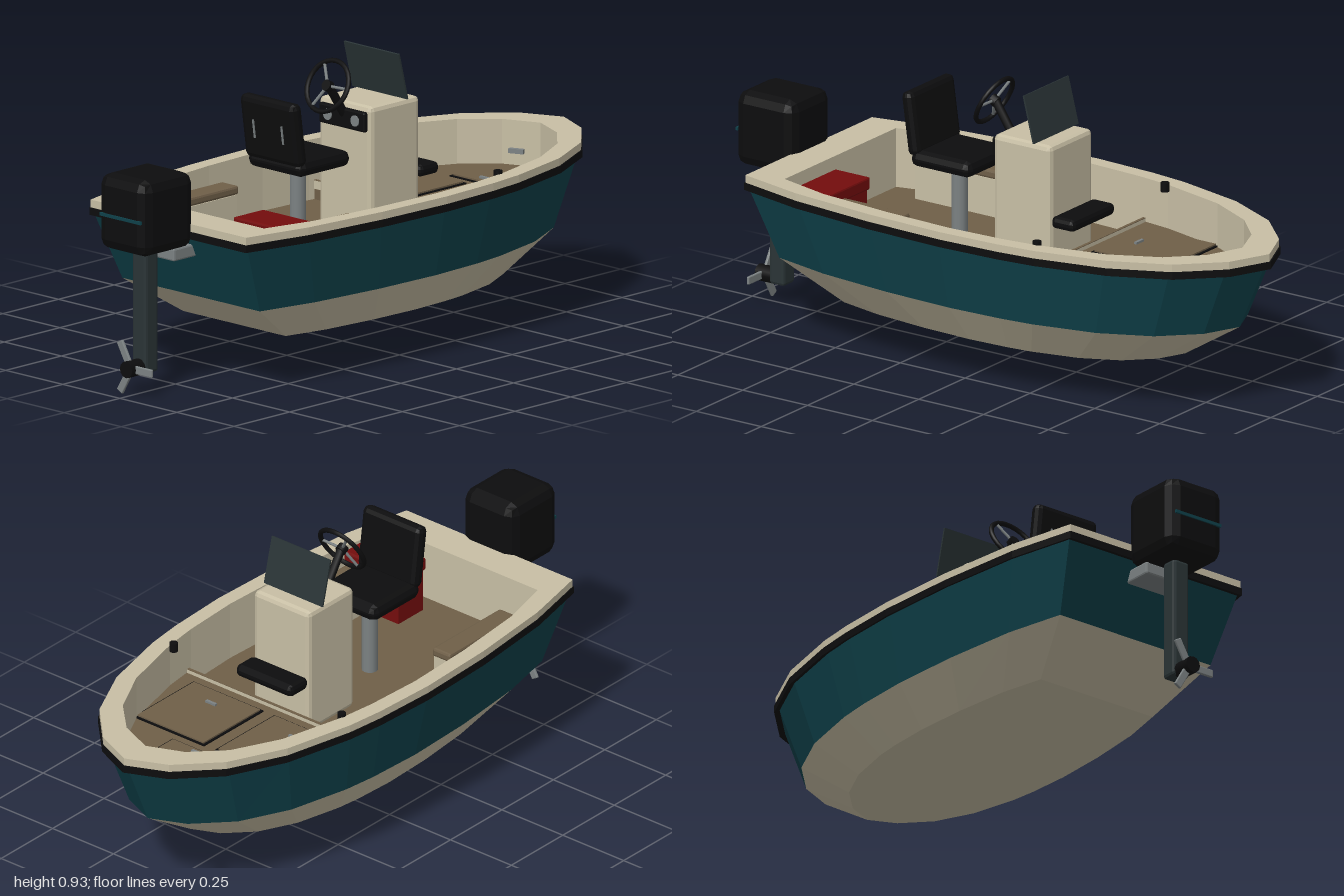
import * as THREE from 'three';
import { RoundedBoxGeometry } from 'three/addons/geometries/RoundedBoxGeometry.js';

const mat = (name, color) => {
  const m = new THREE.MeshStandardMaterial({ color });
  m.name = name;
  return m;
};

export function createModel() {
  const boat = new THREE.Group();
  boat.name = 'motorBoat';
  const cream = mat('cream', 0xc8bfa5), teal = mat('teal', 0x0f414a), black = mat('black', 0x0d0d0e);
  const brown = mat('deckBrown', 0x6f5f48), slate = mat('slate', 0x2a3436), grey = mat('grey', 0x7c8283);
  const red = mat('red', 0x740d0d);

  const add = (name, geo, material, x = 0, y = 0, z = 0, parent = boat) => {
    const m = new THREE.Mesh(geo, material);
    m.name = name;
    m.position.set(x, y, z);
    parent.add(m);
    return m;
  };
  // Box given by its limits, with an optional flat chamfer
  const box = (name, material, x0, x1, y0, y1, z0, z1, chamfer = 0, parent = boat) => {
    const size = [x1 - x0, y1 - y0, z1 - z0];
    let geo;
    if (chamfer) {
      geo = new RoundedBoxGeometry(...size, 1, chamfer);
      if (geo.index) geo = geo.toNonIndexed();
      geo.computeVertexNormals();
    } else geo = new THREE.BoxGeometry(...size);
    return add(name, geo, material, (x0 + x1) / 2, (y0 + y1) / 2, (z0 + z1) / 2, parent);
  };
  // Cylinder between two points
  const rod = (name, material, a, b, r, sides = 10, parent = boat) => {
    const p = new THREE.Vector3(...a), q = new THREE.Vector3(...b), d = q.clone().sub(p);
    const m = add(name, new THREE.CylinderGeometry(r, r, d.length(), sides), material, 0, 0, 0, parent);
    m.position.copy(p).add(q).multiplyScalar(0.5);
    m.quaternion.setFromUnitVectors(new THREE.Vector3(0, 1, 0), d.normalize());
    return m;
  };

  // Outlines run from the stern round the bow and back
  const mirror = half => [...half, ...half.slice(0, -1).reverse().map(([x, z]) => [-x, z])];
  const outer = mirror([[0.34, 0.78], [0.39, 0.55], [0.42, 0.25], [0.43, -0.03], [0.42, -0.25],
    [0.405, -0.38], [0.35, -0.62], [0.26, -0.81], [0.135, -0.94], [0, -1]]);
  const innerHalf = [[0.3, 0.66], [0.345, 0.48], [0.37, 0.22], [0.38, -0.03], [0.37, -0.23],
    [0.355, -0.35], [0.3, -0.58], [0.22, -0.74], [0.12, -0.84], [0, -0.89]];
  const inner = mirror(innerHalf);
  const level = (outline, y) => outline.map(([x, z]) => [x, y, z]);
  // Outer outline with its beam scaled and its length fitted between bow and stern
  const hullRing = (y, beam, bow, stern) =>
    outer.map(([x, z]) => [x * beam, y, bow + (z + 1) / 1.78 * (stern - bow)]);
  // Flat-sided skin through successive rings, with optional caps
  const loft = (rings, capBottom, capTop) => {
    const v = [], n = rings[0].length;
    for (let r = 0; r < rings.length - 1; r++)
      for (let i = 0; i < n; i++) {
        const j = (i + 1) % n, a = rings[r][i], b = rings[r][j], c = rings[r + 1][j], d = rings[r + 1][i];
        v.push(...a, ...b, ...c, ...a, ...c, ...d);
      }
    const cap = (ring, up) => {
      const c = [0, ring[0][1], -0.26];
      for (let i = 0; i < n; i++) {
        const a = ring[i], b = ring[(i + 1) % n];
        v.push(...c, ...(up ? a : b), ...(up ? b : a));
      }
    };
    if (capBottom) cap(rings[0], false);
    if (capTop) cap(rings[rings.length - 1], true);
    const g = new THREE.BufferGeometry();
    g.setAttribute('position', new THREE.Float32BufferAttribute(v, 3));
    g.computeVertexNormals();
    return g;
  };

  // Hull
  const chine = hullRing(0.28, 0.885, -0.88, 0.68), shoulder = hullRing(0.498, 0.988, -0.975, 0.77);
  add('hullBottom', loft([hullRing(0.15, 0.66, -0.67, 0.485), chine], true), cream);
  add('hullSides', loft([chine, shoulder]), teal);
  const railLow = hullRing(0.496, 1.01, -1, 0.785), railHigh = hullRing(0.52, 1.01, -1, 0.785);
  add('rubRail', loft([shoulder, railLow, railHigh, hullRing(0.52, 0.98, -0.98, 0.77)]), black);
  add('gunwaleAndLiner', loft([hullRing(0.518, 1.003, -0.995, 0.782), hullRing(0.545, 1.003, -0.995, 0.782),
    level(inner, 0.545), level(inner, 0.35)]), cream);
  add('cockpitFloor', loft([level(inner, 0.345), level(inner, 0.35)], false, true), brown);

  // Raised bow deck with hatches
  const deck = mirror([[0.367, -0.25], ...innerHalf.slice(5)]);
  add('bowDeck', loft([level(deck, 0.35), level(deck, 0.4)], false, true), brown);
  box('deckLip', cream, -0.365, 0.365, 0.385, 0.412, -0.256, -0.246);
  box('deckLipTop', brown, -0.365, 0.365, 0.412, 0.414, -0.256, -0.246);
  const hatch = (x0, x1, z0, z1, hx, hz) => {
    box('hatchSeam', black, x0, x1, 0.4, 0.404, z0, z1);
    box('hatchLid', brown, x0 + 0.008, x1 - 0.008, 0.4, 0.409, z0 + 0.008, z1 - 0.008);
    box('hatchHandle', grey, hx - 0.02, hx + 0.02, 0.409, 0.416, hz - 0.005, hz + 0.005);
  };
  hatch(-0.125, 0.125, -0.79, -0.61, 0, -0.64);
  hatch(0.022, 0.31, -0.58, -0.29, 0.17, -0.37);
  hatch(-0.31, -0.022, -0.58, -0.29, -0.17, -0.37);

  for (const s of [-1, 1]) {
    // Side lockers with cushions, and fittings
    box('sideLocker', cream, s * 0.275 - 0.033, s * 0.275 + 0.033, 0.35, 0.475, 0.225, 0.545);
    box('lockerCushion', brown, s * 0.275 - 0.037, s * 0.275 + 0.037, 0.475, 0.505, 0.22, 0.55, 0.008);
    rod('rodHolder', black, [s * 0.345, 0.525, -0.345], [s * 0.345, 0.555, -0.345], 0.014);
    const cleat = box('bowCleat', grey, s * 0.07 - 0.025, s * 0.07 + 0.025, 0.44, 0.455, -0.862, -0.846);
    cleat.rotation.y = -s * 0.4;
  }

  // Console
  box('console', cream, -0.115, 0.115, 0.35, 0.777, -0.232, -0.01, 0.016);
  box('consoleCushion', black, -0.115, 0.115, 0.508, 0.548, -0.32, -0.232, 0.015);
  box('dashPanel', black, -0.1, 0.1, 0.695, 0.76, -0.015, 0.004, 0.006);
  for (const x of [-0.06, 0.06]) rod('gauge', grey, [x, 0.728, 0.003], [x, 0.728, 0.008], 0.018, 14);
  const shield = box('windshield', slate, -0.12, 0.12, 0.775, 0.932, -0.154, -0.148);
  shield.rotation.x = 0.25;

  // Steering wheel
  rod('steeringColumn', black, [0, 0.735, -0.01], [0, 0.84, 0.06], 0.014);
  const wheel = new THREE.Group();
  wheel.name = 'steeringWheel';
  wheel.position.set(0, 0.842, 0.066);
  wheel.rotation.x = -0.46;
  boat.add(wheel);
  add('wheelRim', new THREE.TorusGeometry(0.084, 0.008, 8, 28), black, 0, 0, 0, wheel);
  rod('wheelHub', black, [0, 0, -0.012], [0, 0, 0.01], 0.018, 12, wheel);
  for (let i = 0; i < 3; i++) {
    const a = Math.PI * (2 / 3 * i + 0.68);
    rod('wheelSpoke', grey, [0, 0, 0], [0.08 * Math.cos(a), 0.08 * Math.sin(a), 0], 0.005, 6, wheel);
  }

  // Helm seat
  rod('seatPost', grey, [0, 0.35, 0.2], [0, 0.61, 0.2], 0.026, 12);
  box('seatCushion', black, -0.12, 0.12, 0.605, 0.66, 0.08, 0.31, 0.024);
  const back = new THREE.Group();
  back.name = 'seatBack';
  back.position.set(0, 0.745, 0.31);
  back.rotation.x = 0.14;
  boat.add(back);
  box('backPad', black, -0.12, 0.12, -0.105, 0.105, -0.022, 0.022, 0.018, back);
  for (const x of [-0.062, 0.062]) box('backBracket', grey, x - 0.003, x + 0.003, -0.03, 0.03, 0.02, 0.026, 0, back);

  // Cooler
  box('coolerBody', red, 0.115, 0.325, 0.35, 0.495, 0.475, 0.595);
  box('coolerLid', red, 0.108, 0.332, 0.495, 0.537, 0.467, 0.602, 0.006);
  for (const x of [0.108, 0.332]) box('coolerHandle', black, x - 0.006, x + 0.006, 0.46, 0.49, 0.51, 0.56);

  // Outboard motor
  box('motorBracket', grey, -0.082, 0.082, 0.43, 0.472, 0.72, 0.84, 0.006);
  box('motorCowl', black, -0.106, 0.106, 0.468, 0.716, 0.768, 0.995, 0.036);
  box('cowlStripe', teal, -0.09, 0.09, 0.58, 0.59, 0.992, 1);
  box('motorLeg', slate, -0.031, 0.031, 0.07, 0.47, 0.856, 0.914, 0.01);
  rod('propellerHub', black, [0, 0.09, 0.905], [0, 0.09, 0.972], 0.027, 12);
  for (let i = 0; i < 3; i++) {
    const blade = new THREE.Group();
    blade.name = 'propellerBlade';
    blade.position.set(0, 0.09, 0.95);
    blade.rotation.z = i * Math.PI * 2 / 3;
    boat.add(blade);
    box('blade', grey, 0.02, 0.094, -0.013, 0.013, -0.005, 0.005, 0.003, blade);
  }
  return boat;
}
